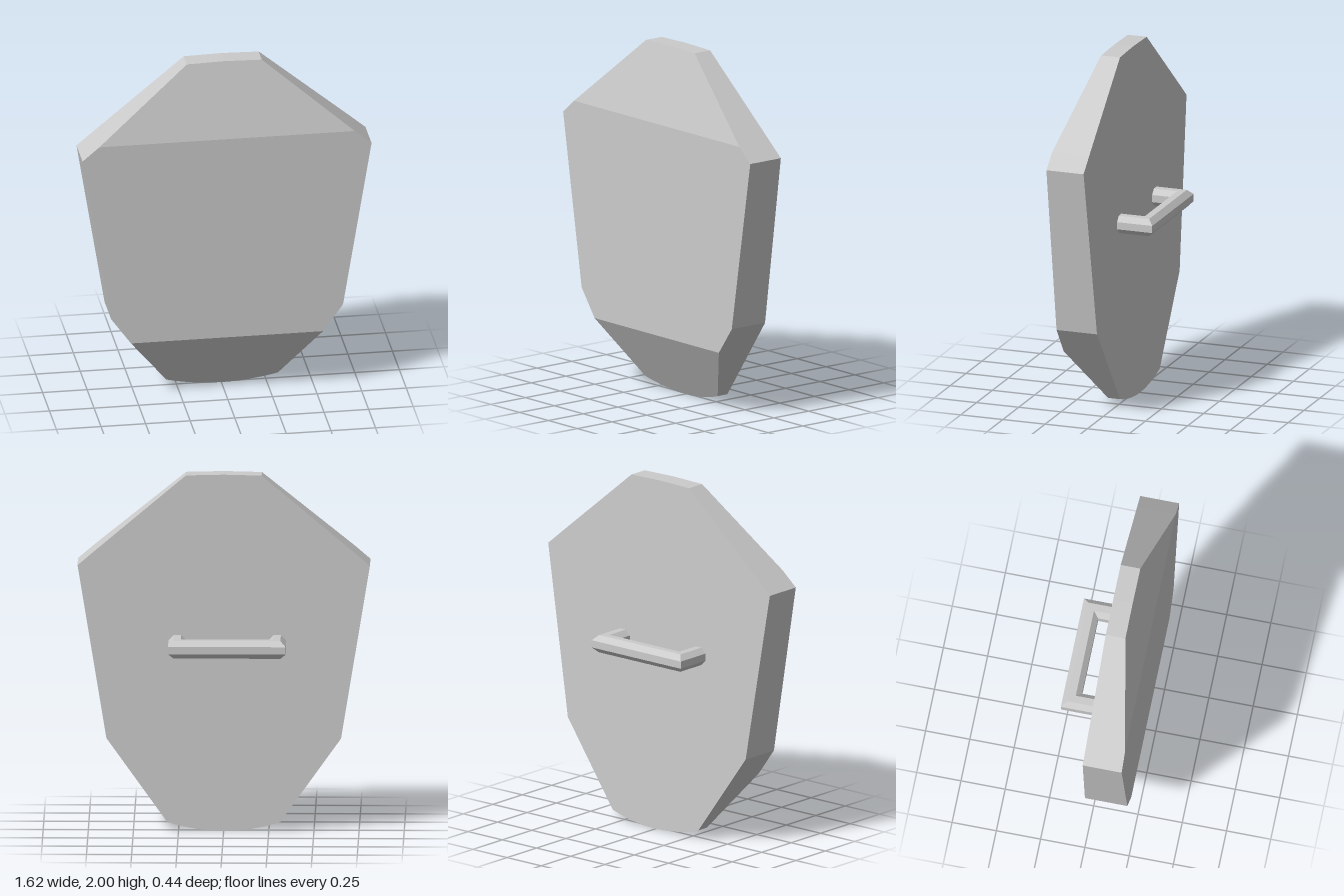
import * as THREE from 'three';
import { ConvexGeometry } from 'three/addons/geometries/ConvexGeometry.js';

const material = new THREE.MeshStandardMaterial({ color: 0xcccccc, flatShading: true });

// Slightly leaning back plane, and a front that slopes away at top and bottom
const backZ = (y) => -0.03 + 0.02 * y;
function frontZ(y) {
  if (y > 1.57) return 0.22 - 0.1 * (y - 1.57) / 0.43;
  if (y < 0.365) return 0.013 + 0.207 * y / 0.365;
  return 0.22;
}

// Convex slab spanned between the front and back copies of the outline
function shieldGeometry() {
  const half = [[0.21, 1.995], [0.716, 1.57], [0.81, 1.49], [0.65, 0.52], [0.538, 0.365]];
  const outline = [[0, 2]];
  for (const [x, y] of half) outline.push([x, y], [-x, y]);
  // Curved bottom edge
  for (let i = -6; i <= 6; i++) outline.push([0.313 * i / 6, 0.05 * (i / 6) ** 2]);
  const points = [];
  for (const [x, y] of outline) {
    points.push(new THREE.Vector3(x, y, frontZ(y)), new THREE.Vector3(x, y, backZ(y)));
  }
  return new ConvexGeometry(points);
}

// Octagonal bar bent into a U with mitred corners
function handleGeometry() {
  const sides = 8, r = 0.054, y0 = 1.05, barZ = -0.167;
  // Each ring: leg centre x, outward sign, z of the centre, whether it is a mitre
  const rings = [
    [-0.296, -1, 0, 0], [-0.296, -1, barZ, 1],
    [0.256, 1, barZ, 1], [0.256, 1, 0, 0],
  ];
  const positions = [], index = [];
  for (const [cx, sign, z, mitre] of rings) {
    for (let j = 0; j < sides; j++) {
      const a = (j + 0.5) / sides * Math.PI * 2;
      const u = r * Math.cos(a);
      positions.push(cx + sign * u, y0 + r * Math.sin(a), z - mitre * u);
    }
  }
  for (let i = 0; i < rings.length - 1; i++) {
    for (let j = 0; j < sides; j++) {
      const a = i * sides + j, b = i * sides + (j + 1) % sides;
      index.push(a, b, a + sides, b, b + sides, a + sides);
    }
  }
  const geometry = new THREE.BufferGeometry();
  geometry.setAttribute('position', new THREE.Float32BufferAttribute(positions, 3));
  geometry.setIndex(index);
  const flat = geometry.toNonIndexed();
  flat.computeVertexNormals();
  return flat;
}

export function createModel() {
  const group = new THREE.Group();
  group.name = 'shield';
  const parts = { shieldBody: shieldGeometry(), rearHandle: handleGeometry() };
  for (const [name, geometry] of Object.entries(parts)) {
    const mesh = new THREE.Mesh(geometry, material);
    mesh.name = name;
    group.add(mesh);
  }
  return group;
}
